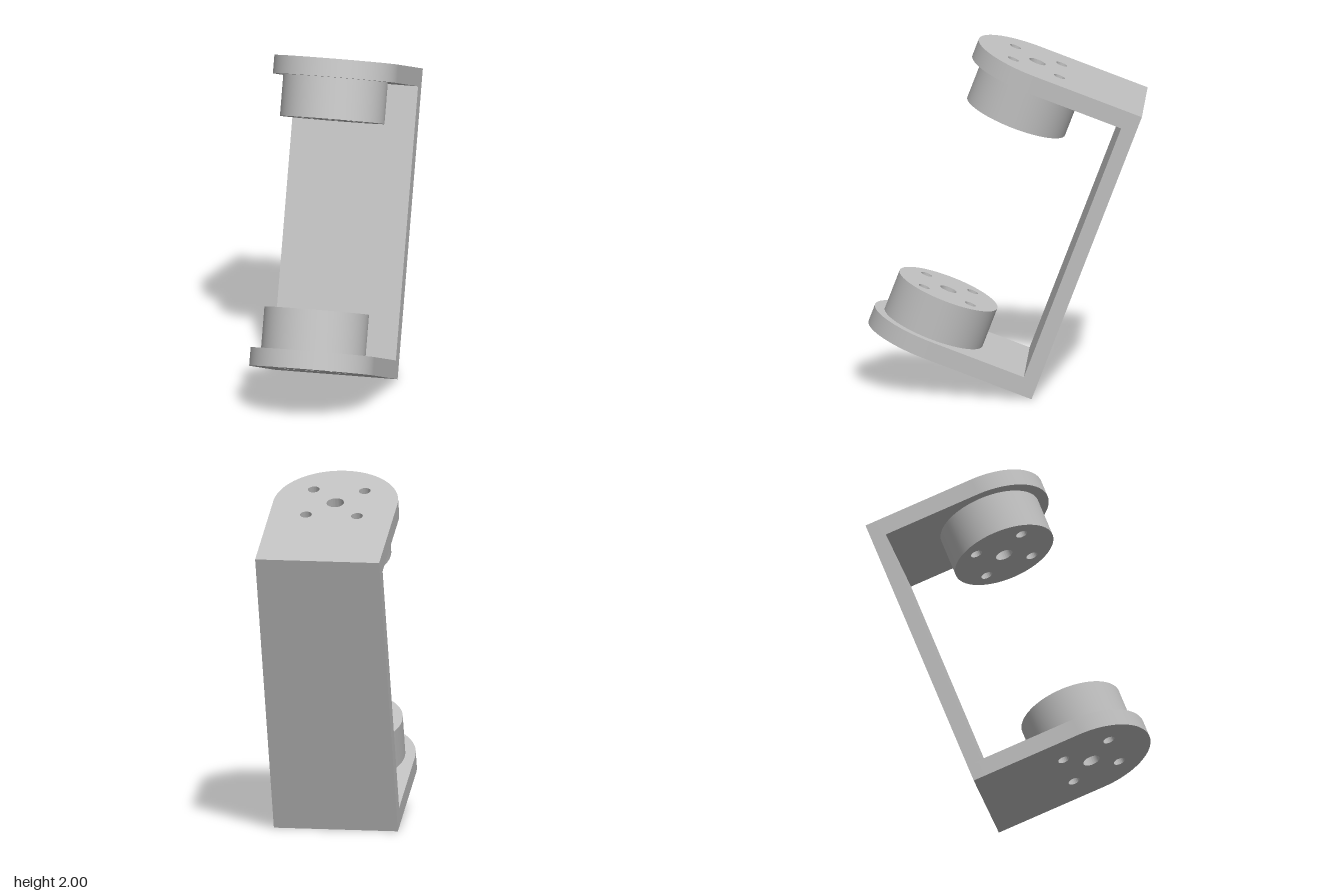
import * as THREE from 'three';
import { toCreasedNormals } from 'three/addons/utils/BufferGeometryUtils.js';

const W = 0.355;       // half width and radius of the rounded ends
const H = 1.76;        // overall bracket height
const CZ = 0.648;      // hub axis distance from the back face
const PLATE = 0.104;   // plate thickness
const WEB = 0.086;     // back wall thickness
const HUB_R = 0.296;
const HUB_H = 0.236;

// Centre bore and four bolt holes around the hub axis
function addHoles(shape) {
  const hole = (x, z, r) => {
    const p = new THREE.Path();
    p.absarc(x, z, r, 0, Math.PI * 2, true);
    shape.holes.push(p);
  };
  hole(0, CZ, 0.049);
  for (const sx of [-1, 1]) for (const sz of [-1, 1]) hole(sx * 0.146, CZ + sz * 0.139, 0.033);
  return shape;
}

// Shape drawn in x,z and extruded downwards from y = 0
function slab(shape, depth) {
  const g = new THREE.ExtrudeGeometry(shape, { depth, bevelEnabled: false, curveSegments: 40 });
  g.rotateX(Math.PI / 2);
  return toCreasedNormals(g, 0.6);
}

export function createModel() {
  const metal = new THREE.MeshStandardMaterial({ color: 0xc0c0c0 });
  metal.name = 'grey metal';

  const bracket = new THREE.Group();
  bracket.name = 'bracket';
  const add = (name, geometry, y, z = 0) => {
    const m = new THREE.Mesh(geometry, metal);
    m.name = name;
    m.position.set(0, y, z);
    bracket.add(m);
  };

  // Plates: square at the back, rounded at the front
  const plate = new THREE.Shape();
  plate.moveTo(-W, 0);
  plate.lineTo(W, 0);
  plate.lineTo(W, CZ);
  plate.absarc(0, CZ, W, 0, Math.PI, false);
  plate.closePath();
  const plateGeo = slab(addHoles(plate), PLATE);
  add('bottomPlate', plateGeo, PLATE);
  add('topPlate', plateGeo, H);

  // Round hubs facing each other
  const disc = new THREE.Shape();
  disc.absarc(0, CZ, HUB_R, 0, Math.PI * 2, false);
  const hubGeo = slab(addHoles(disc), HUB_H);
  add('bottomHub', hubGeo, PLATE + HUB_H);
  add('topHub', hubGeo, H - PLATE);

  // Back wall joining the plates
  add('backWall', new THREE.BoxGeometry(W * 2, H - PLATE * 2, WEB), H / 2, WEB / 2);

  // The whole bracket leans back and turns slightly
  bracket.rotation.set(-0.362, -0.12, 0, 'YXZ');
  bracket.position.set(-0.003, 0, -0.138);

  const model = new THREE.Group();
  model.name = 'hubBracket';
  model.add(bracket);
  return model;
}
